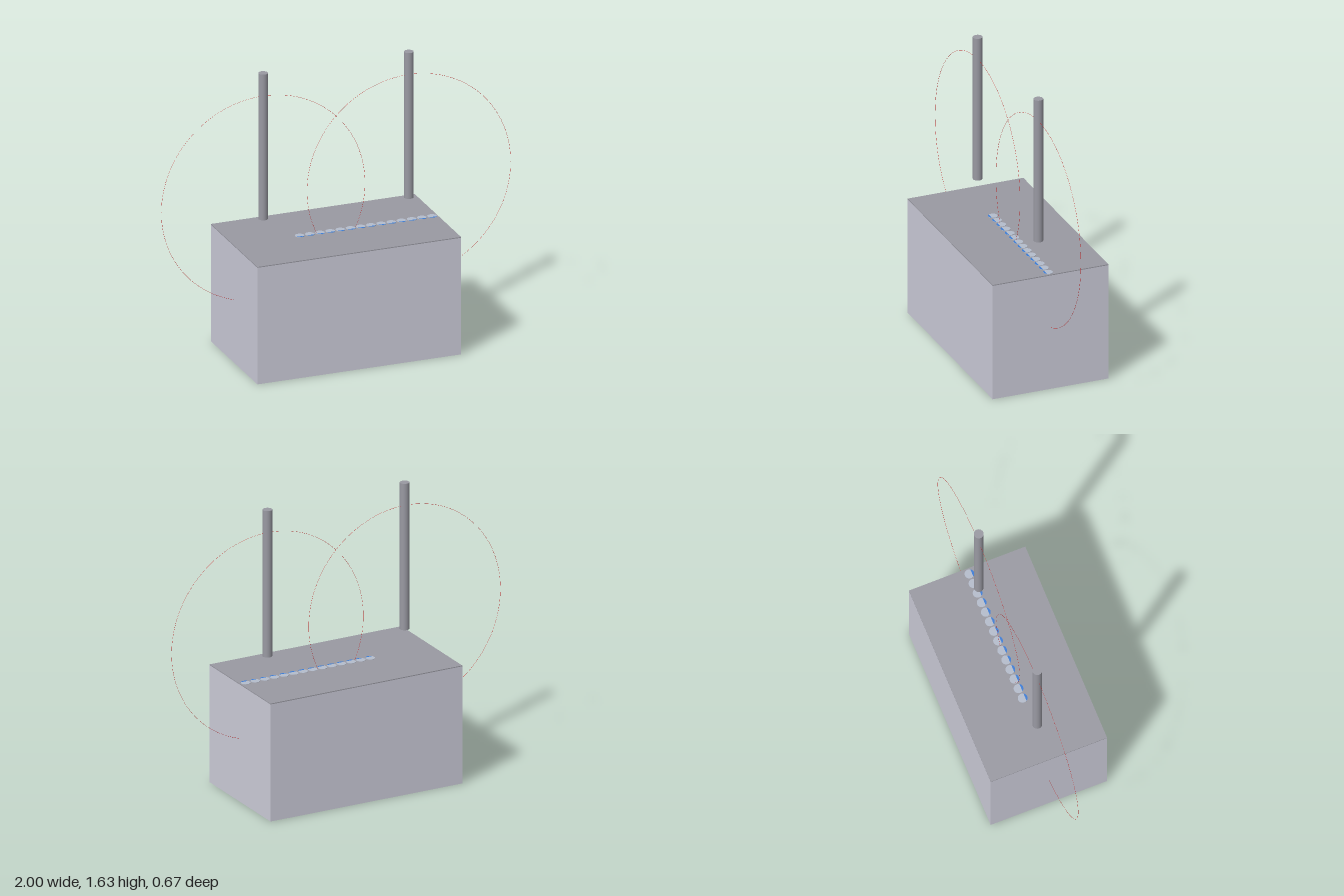
import * as THREE from 'three';

function material(name, color, side = THREE.FrontSide) {
  const m = new THREE.MeshStandardMaterial({ color, side });
  m.name = name;
  return m;
}

export function createModel() {
  const model = new THREE.Group();
  model.name = 'twinRodDevice';

  const paleGrey = material('paleGrey', 0xccccd9);
  const steelGrey = material('steelGrey', 0x9999a2);
  const discGrey = material('discGrey', 0xb4bccb);
  const blue = material('blue', 0x3a7bd5, THREE.DoubleSide);
  const red = material('red', 0xcc2222);

  function add(name, geometry, mat, x, y, z, parent = model) {
    const mesh = new THREE.Mesh(geometry, mat);
    mesh.name = name;
    mesh.position.set(x, y, z);
    parent.add(mesh);
    return mesh;
  }

  // Housing with a thin darker lid
  const width = 1.166, depth = 0.667, bodyTop = 0.667, lidTop = 0.672;
  add('body', new THREE.BoxGeometry(width, bodyTop, depth), paleGrey, 0, bodyTop / 2, 0);
  add('lid', new THREE.BoxGeometry(width, lidTop - bodyTop, depth), steelGrey,
    0, (lidTop + bodyTop) / 2, 0);

  // Pair of floating rods, each with a hair-thin upright ring
  const rod = new THREE.CylinderGeometry(0.026, 0.026, 0.834, 32);
  const ring = new THREE.TorusGeometry(0.583, 0.0006, 6, 128);
  for (const [label, side] of [['left', 1], ['right', -1]]) {
    add(label + 'Rod', rod, steelGrey, side * 0.417, 1.218, 0);
    add(label + 'Ring', ring, red, side * 0.417, 0.92, 0);
  }

  // Row of flat discs along the lid, each with a blue crescent at the front edge
  const radius = 0.026;
  const disc = new THREE.CylinderGeometry(radius, radius, 0.002, 24);
  const edge = new THREE.Shape();
  edge.absarc(0, 0, radius, -Math.PI * 0.82, -Math.PI * 0.18, false);
  const crescent = new THREE.ShapeGeometry(edge, 12).rotateX(-Math.PI / 2);
  const row = new THREE.Group();
  row.name = 'discRow';
  model.add(row);
  for (let i = 0; i < 14; i++) {
    const x = -0.208 + i * 0.0583;
    add('disc', disc, discGrey, x, lidTop + 0.001, 0, row);
    add('discEdge', crescent, blue, x, lidTop + 0.0025, 0, row);
  }

  return model;
}
